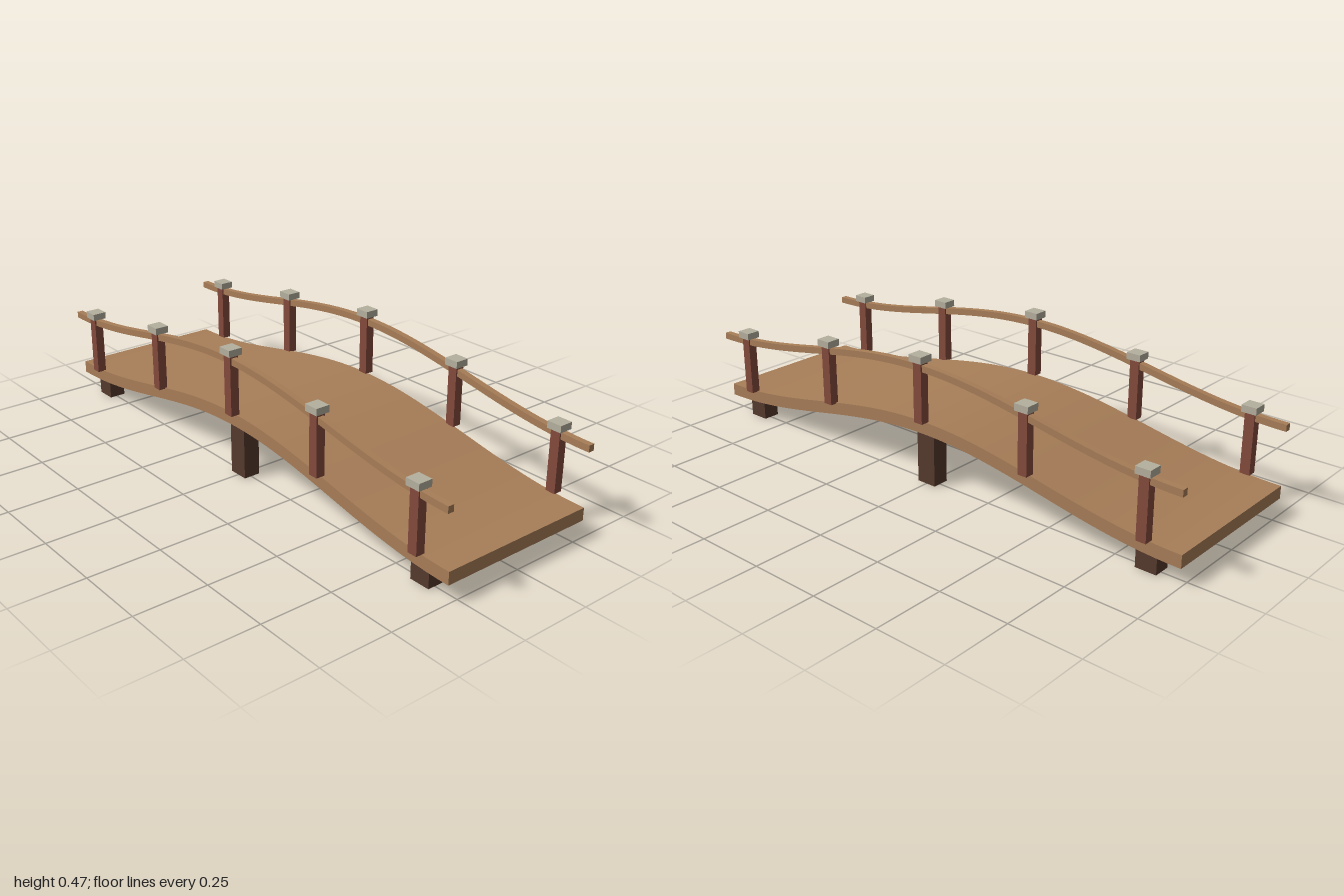
import * as THREE from 'three';
import { toCreasedNormals } from 'three/addons/utils/BufferGeometryUtils.js';

const material = (name, color) => {
  const m = new THREE.MeshStandardMaterial({ color });
  m.name = name;
  return m;
};

// Arch factor along the bridge: 1 at the middle, 0 at both ends
const arch = (z) => (Math.cos(Math.PI * z) + 1) / 2;
const deckTop = (z) => 0.105 + 0.125 * arch(z);
const railTop = (z) => 0.315 + 0.12 * arch(z);

// Beam that follows a curve along z, with a constant height and width
function archedBeam(top, height, width) {
  const steps = 48;
  const points = [];
  for (let i = 0; i <= steps; i++) {
    const z = -1 + (2 * i) / steps;
    points.push(new THREE.Vector2(z, top(z)));
  }
  const under = points.map((p) => new THREE.Vector2(p.x, p.y - height)).reverse();
  const shape = new THREE.Shape([...points, ...under]);
  const geometry = new THREE.ExtrudeGeometry(shape, { depth: width, bevelEnabled: false });
  geometry.translate(0, 0, -width / 2);
  geometry.rotateY(-Math.PI / 2);
  return toCreasedNormals(geometry, 0.5);
}

export function createModel() {
  const wood = material('plank wood', 0xa87e58);
  const red = material('red post wood', 0x844a3c);
  const stone = material('cap stone', 0xb5b09f);
  const dark = material('dark support wood', 0x553a2c);

  const bridge = new THREE.Group();
  bridge.name = 'archedFootbridge';

  const add = (name, geometry, mat, x = 0, y = 0, z = 0) => {
    const mesh = new THREE.Mesh(geometry, mat);
    mesh.name = name;
    mesh.position.set(x, y, z);
    bridge.add(mesh);
  };
  const box = (name, mat, w, d, x, bottom, top, z) =>
    add(name, new THREE.BoxGeometry(w, top - bottom, d), mat, x, (bottom + top) / 2, z);

  // Walkway
  add('deck', archedBeam(deckTop, 0.044, 0.578), wood);

  for (const side of [-1, 1]) {
    const label = side > 0 ? 'left' : 'right';

    // Handrail
    add(`${label}Handrail`, archedBeam(railTop, 0.023, 0.022), wood, side * 0.295);

    // Posts standing on the deck edge, each with a cap
    for (const z of [-0.875, -0.4375, 0, 0.4375, 0.875]) {
      const base = deckTop(z);
      box(`${label}Post`, red, 0.032, 0.035, side * 0.295, base, base + 0.213, z);
      box(`${label}PostCap`, stone, 0.05, 0.053, side * 0.295, base + 0.213, base + 0.237, z);
    }

    // Supports under the ends and the crown
    for (const z of [-0.875, 0, 0.875]) {
      box(`${label}Support`, dark, 0.06, 0.074, side * 0.246, 0, deckTop(z) - 0.04, z);
    }
  }
  return bridge;
}
